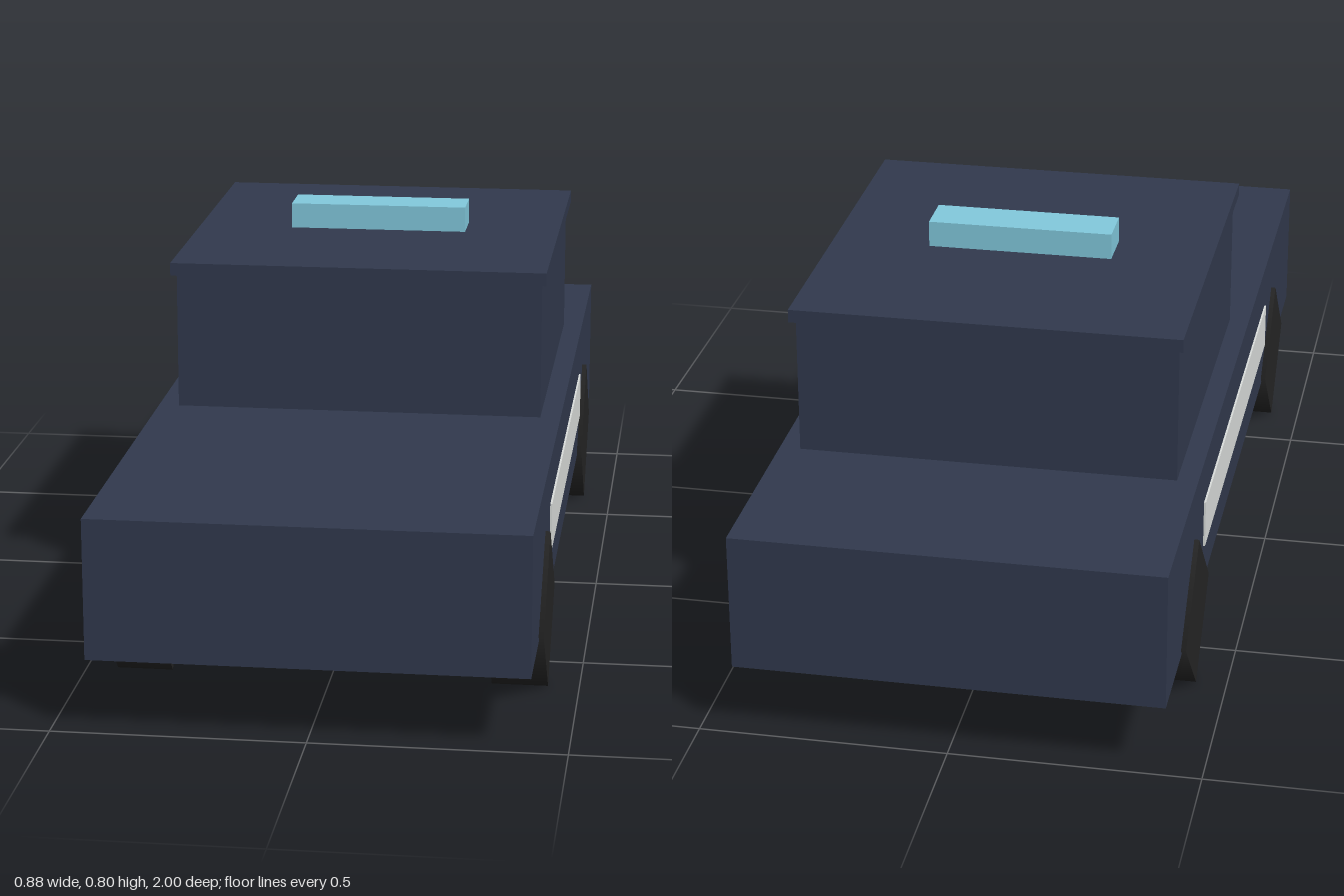
import * as THREE from 'three';

const material = (name, color) => {
  const m = new THREE.MeshStandardMaterial({ color });
  m.name = name;
  return m;
};

export function createModel() {
  const car = new THREE.Group();
  car.name = 'car';

  const navy = material('navy paint', 0x31394d);
  const black = material('black rubber', 0x252525);
  const white = material('off-white stripe', 0xdadddb);
  const blue = material('light blue', 0x82c9dd);

  // Box given by its size, its bottom height and its centre in x and z
  const box = (name, mat, [w, h, d], bottom, z = 0, x = 0) => {
    const mesh = new THREE.Mesh(new THREE.BoxGeometry(w, h, d), mat);
    mesh.name = name;
    mesh.position.set(x, bottom + h / 2, z);
    car.add(mesh);
  };

  // Body, cabin, overhanging roof and light bar
  box('body', navy, [0.855, 0.283, 2], 0.149);
  box('cabin', navy, [0.77, 0.288, 0.8], 0.432, -0.2);
  box('roof', navy, [0.79, 0.027, 0.84], 0.72, -0.2);
  box('lightBar', blue, [0.382, 0.054, 0.095], 0.747, -0.2);

  // Four-sided wheels standing on a corner, and side stripes
  const wheelGeometry = new THREE.CylinderGeometry(0.1625, 0.1625, 0.113, 4);
  wheelGeometry.rotateZ(Math.PI / 2);
  for (const side of [1, -1]) {
    const sideName = side > 0 ? 'left' : 'right';
    box(`${sideName}Stripe`, white, [0.008, 0.1, 1.005], 0.238, 0, side * 0.4275);
    for (const end of [1, -1]) {
      const wheel = new THREE.Mesh(wheelGeometry, black);
      wheel.name = `${sideName}${end > 0 ? 'Front' : 'Rear'}Wheel`;
      wheel.position.set(side * 0.381, 0.1625, end * 0.64);
      car.add(wheel);
    }
  }

  return car;
}
